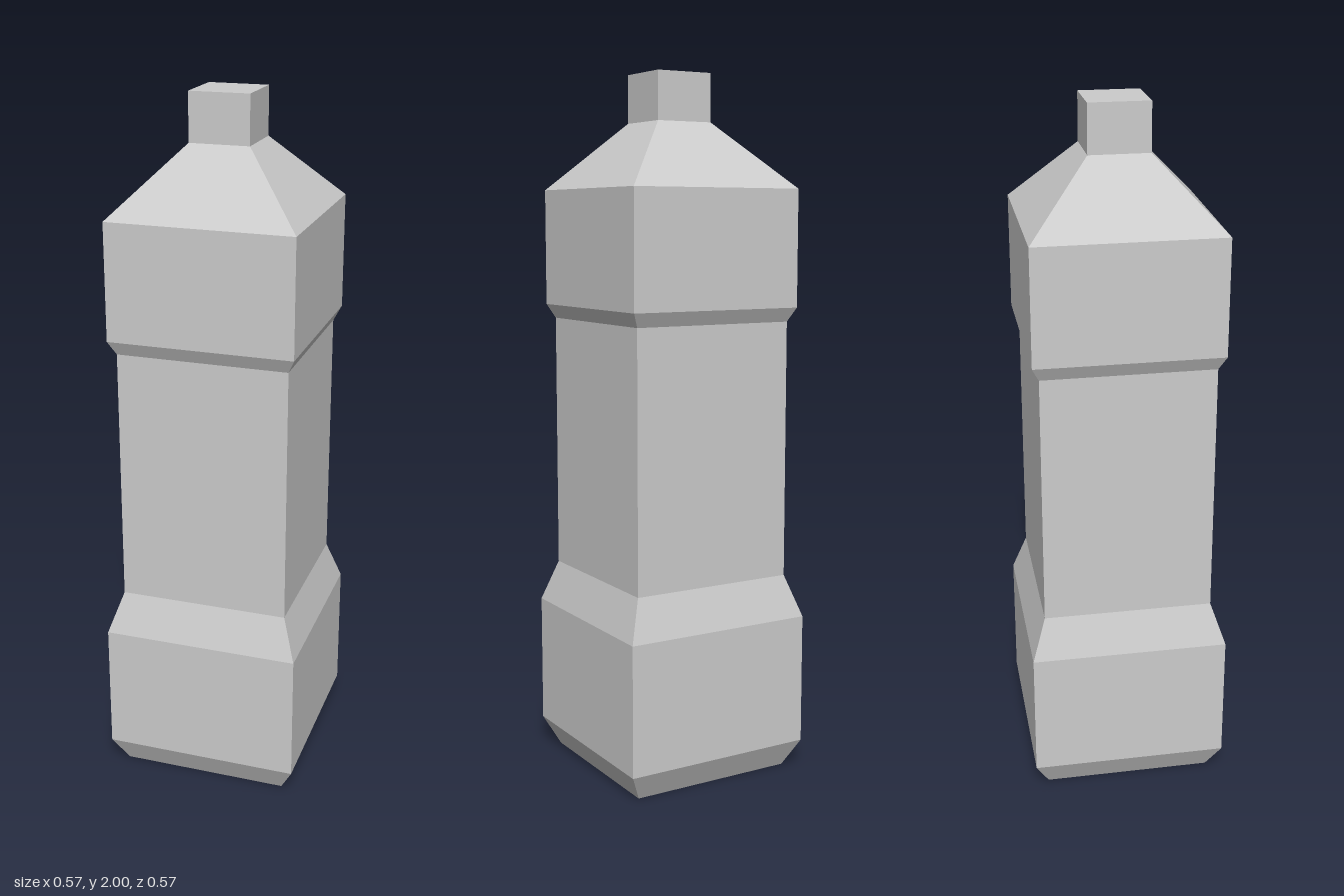
import * as THREE from 'three';

const material = new THREE.MeshStandardMaterial({ color: 0xcccccc, flatShading: true });

// Square-section solid from a profile of [half width, height], bottom to top
function squareTurned(name, profile) {
  const points = profile.map(([half, y]) => new THREE.Vector2(half * Math.SQRT2, y));
  const geometry = new THREE.LatheGeometry(points, 4, Math.PI / 4).toNonIndexed();
  geometry.computeVertexNormals();
  const mesh = new THREE.Mesh(geometry, material);
  mesh.name = name;
  return mesh;
}

export function createModel() {
  const bottle = new THREE.Group();
  bottle.name = 'bottle';

  // Closed base, wide foot, narrow grip, upper band and sloping shoulder
  bottle.add(squareTurned('body', [
    [0, 0], [0.243, 0], [0.283, 0.08], [0.283, 0.455], [0.243, 0.575],
    [0.243, 1.31], [0.263, 1.35], [0.263, 1.68], [0.085, 1.865],
  ]));

  // Square cap closing the neck
  bottle.add(squareTurned('cap', [[0.085, 1.865], [0.085, 2], [0, 2]]));

  return bottle;
}
